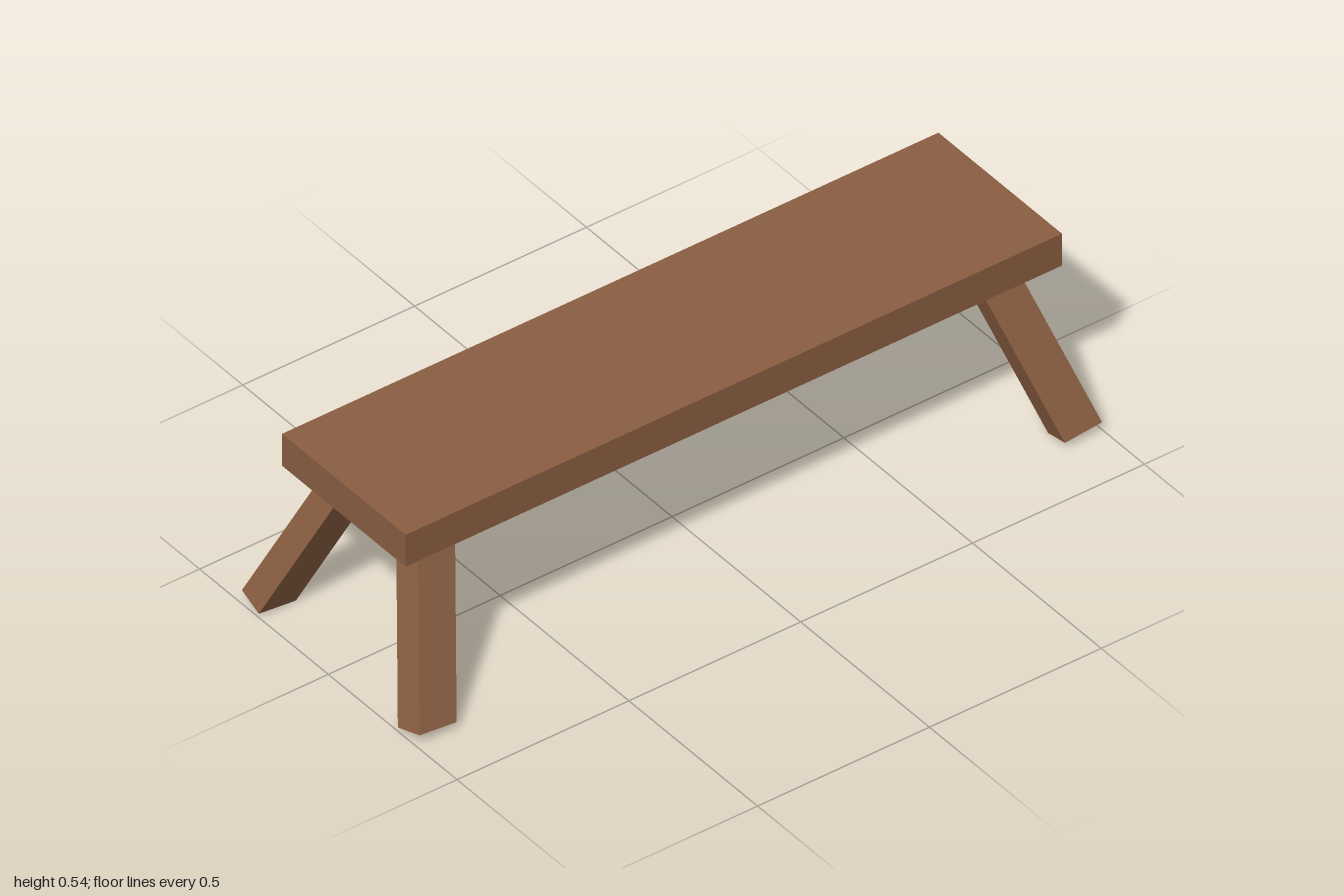
import * as THREE from 'three';

const V = (x, y, z) => new THREE.Vector3(x, y, z);

// Leg: a box skewed along three edge vectors, mirrored by sx and sz
function makeLeg(sx, sz, material) {
  const mirror = v => v.multiply(V(sx, 1, sz));
  const across = mirror(V(0.108, 0.011, 0));
  const along = mirror(V(-0.30, 1, -0.416).multiplyScalar(0.48));
  const deep = mirror(V(-0.007, 0.02, 0.075));
  const corner = mirror(V(0.892, 0.002, 0.27));
  const centre = corner.addScaledVector(across, 0.5).addScaledVector(along, 0.5).addScaledVector(deep, 0.5);
  // The box is symmetric, so negating one axis keeps its faces outward
  if (sx * sz < 0) across.negate();
  const matrix = new THREE.Matrix4().makeBasis(across, along, deep).setPosition(centre);
  return new THREE.Mesh(new THREE.BoxGeometry(1, 1, 1).applyMatrix4(matrix), material);
}

export function createModel() {
  const group = new THREE.Group();
  group.name = 'bench';
  const wood = new THREE.MeshStandardMaterial({ color: 0x8b5f42, flatShading: true });

  // Seat plank
  const seat = new THREE.Mesh(new THREE.BoxGeometry(1.91, 0.094, 0.48), wood);
  seat.name = 'seat';
  seat.position.y = 0.494;
  group.add(seat);

  // Four splayed legs, their tops set into the seat
  for (const sx of [1, -1]) {
    for (const sz of [1, -1]) {
      const leg = makeLeg(sx, sz, wood);
      leg.name = (sz > 0 ? 'front' : 'back') + (sx > 0 ? 'Left' : 'Right') + 'Leg';
      group.add(leg);
    }
  }
  return group;
}
